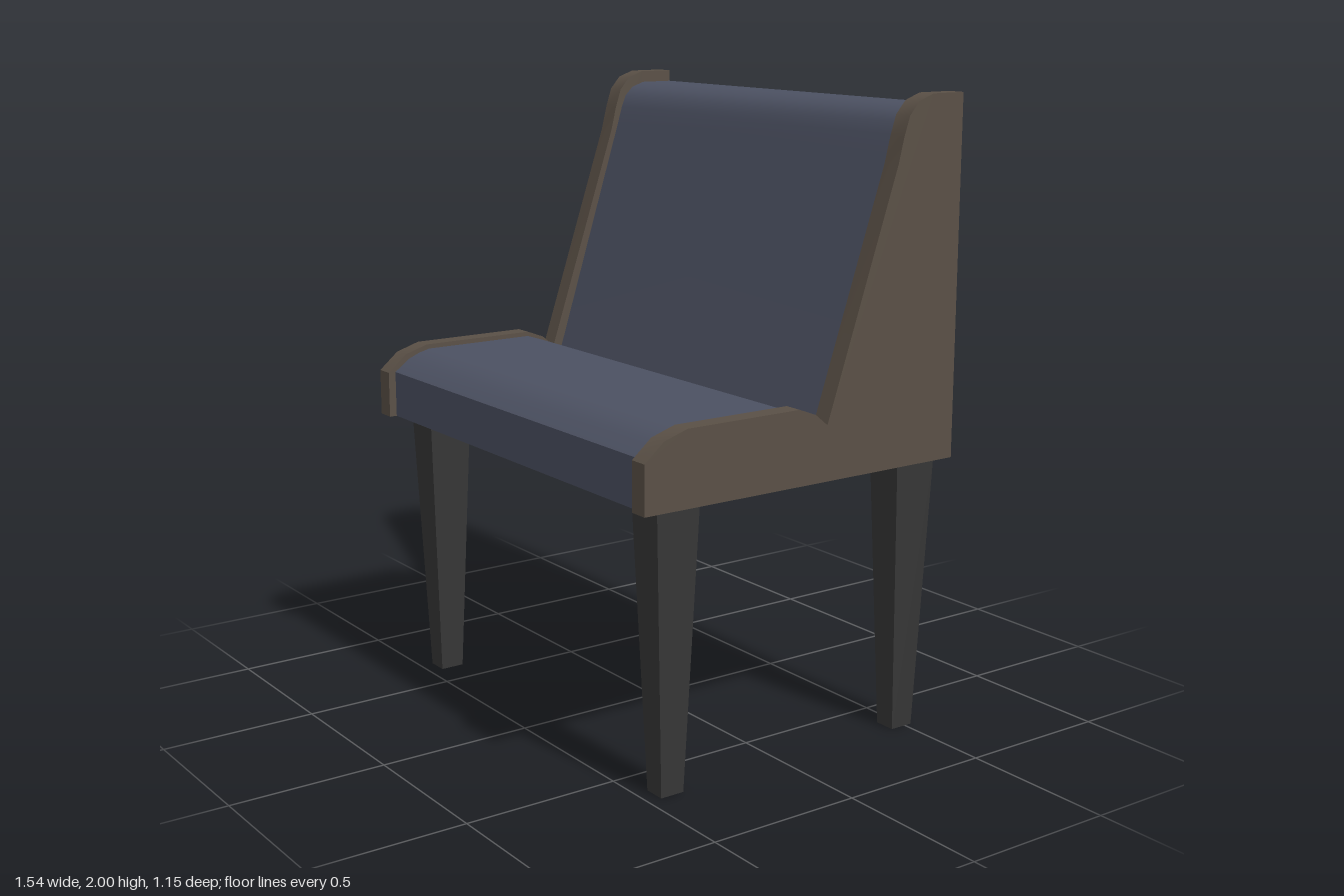
import * as THREE from 'three';
import { toCreasedNormals } from 'three/addons/utils/BufferGeometryUtils.js';

const mat = (name, color) => {
  const m = new THREE.MeshStandardMaterial({ color });
  m.name = name;
  return m;
};

// Extrude a side profile of [z, y] points along x, centred on x = 0
function profileGeometry(points, width) {
  const shape = new THREE.Shape(points.map(([z, y]) => new THREE.Vector2(z, y)));
  const geo = new THREE.ExtrudeGeometry(shape, { depth: width, bevelEnabled: false });
  geo.translate(0, 0, -width / 2);
  geo.rotateY(-Math.PI / 2);
  return toCreasedNormals(geo, 0.7);
}

// Rectangular leg narrowing towards the floor
function legGeometry(height) {
  const geo = new THREE.BoxGeometry(0.125, height, 0.15);
  const pos = geo.attributes.position;
  for (let i = 0; i < pos.count; i++) {
    if (pos.getY(i) < 0) {
      pos.setX(i, pos.getX(i) * 0.56);
      pos.setZ(i, pos.getZ(i) * 0.53);
    }
  }
  geo.translate(0, height / 2, 0);
  geo.computeVertexNormals();
  return geo;
}

export function createModel() {
  const model = new THREE.Group();
  model.name = 'boothBench';
  const fabric = mat('blueUpholstery', 0x4c5162);
  const wood = mat('brownPanel', 0x5a5046);
  const dark = mat('darkLeg', 0x363636);
  const base = 0.89;

  const add = (name, geo, material, x = 0, z = 0) => {
    const mesh = new THREE.Mesh(geo, material);
    mesh.name = name;
    mesh.position.set(x, 0, z);
    model.add(mesh);
  };

  // Seat and backrest in one upholstered body, slightly inside the end panels
  add('upholstery', profileGeometry([
    [-0.575, base], [0.55, base], [0.55, 1.04],
    [0.5, 1.078], [0.46, 1.095], [0.42, 1.105],
    [0.03, 1.105], [-0.03, 1.085], [-0.1, 1.03],
    [-0.352, 1.82], [-0.37, 1.88], [-0.387, 1.92], [-0.415, 1.947], [-0.46, 1.963],
    [-0.575, 1.963],
  ], 1.42), fabric);

  // End panels
  const panel = profileGeometry([
    [-0.575, base], [0.575, base], [0.575, 1.04],
    [0.51, 1.095], [0.43, 1.12],
    [0.03, 1.12], [-0.03, 1.097], [-0.075, 1.06],
    [-0.325, 1.8], [-0.345, 1.88], [-0.365, 1.94], [-0.4, 1.98], [-0.455, 2],
    [-0.575, 2],
  ], 0.06);
  add('leftPanel', panel, wood, 0.74);
  add('rightPanel', panel, wood, -0.74);

  // Four tapered legs
  const leg = legGeometry(base);
  for (const [side, x] of [['Left', 0.647], ['Right', -0.647]]) {
    add('front' + side + 'Leg', leg, dark, x, 0.415);
    add('back' + side + 'Leg', leg, dark, x, -0.485);
  }
  return model;
}
